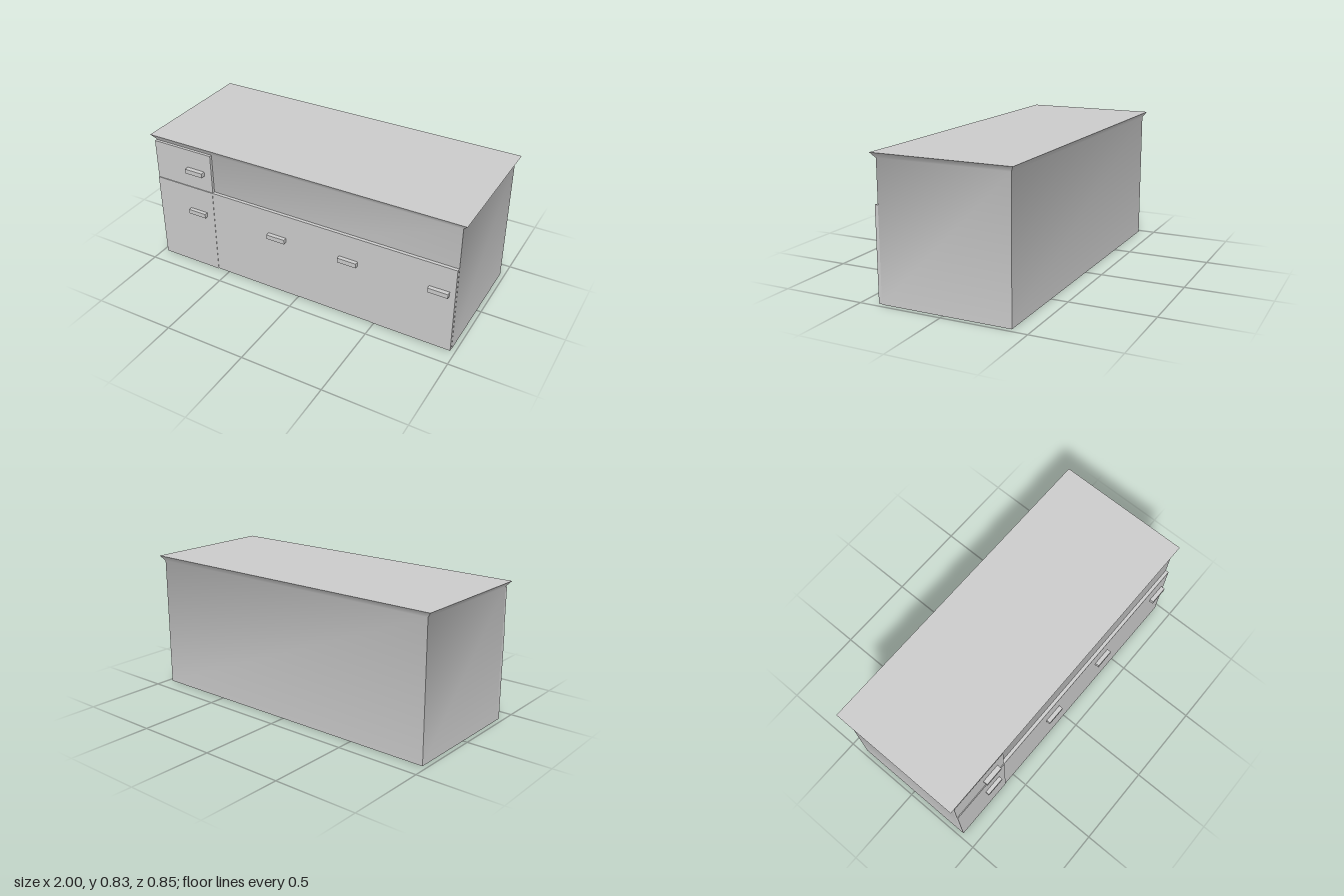
import * as THREE from 'three';
import { toCreasedNormals } from 'three/addons/utils/BufferGeometryUtils.js';

const material = new THREE.MeshStandardMaterial({ color: 0xcccccc });

// Box given by its minimum and maximum on each axis
function addBox(group, name, [x0, x1], [y0, y1], [z0, z1]) {
  const mesh = new THREE.Mesh(new THREE.BoxGeometry(x1 - x0, y1 - y0, z1 - z0), material);
  mesh.position.set((x0 + x1) / 2, (y0 + y1) / 2, (z0 + z1) / 2);
  mesh.name = name;
  group.add(mesh);
}

// Carcass flaring into the worktop: rectangular rings joined by walls and closed by caps
function carcassGeometry() {
  const rings = [
    { y: 0, x: 0.973, front: 0.379, back: -0.4 },
    { y: 0.8, x: 0.973, front: 0.379, back: -0.4 },
    { y: 0.832, x: 1, front: 0.4, back: -0.422 },
  ];
  const positions = rings.flatMap(({ y, x, front, back }) =>
    [-x, y, front, x, y, front, x, y, back, -x, y, back]);
  const index = [0, 2, 1, 0, 3, 2, 8, 9, 10, 8, 10, 11];
  for (let r = 0; r < rings.length - 1; r++) {
    for (let i = 0; i < 4; i++) {
      const a = r * 4 + i, b = r * 4 + (i + 1) % 4;
      index.push(a, b, b + 4, a, b + 4, a + 4);
    }
  }
  const geometry = new THREE.BufferGeometry();
  geometry.setAttribute('position', new THREE.Float32BufferAttribute(positions, 3));
  geometry.setIndex(index);
  return toCreasedNormals(geometry, 0.9);
}

export function createModel() {
  const cabinet = new THREE.Group();
  cabinet.name = 'cabinet';

  const carcass = new THREE.Mesh(carcassGeometry(), material);
  carcass.name = 'carcassAndWorktop';
  cabinet.add(carcass);

  // Lower doors, the first one standing slightly proud
  const doors = [
    { x: [-0.973, -0.576], bottom: 0, front: 0.401, handle: -0.685 },
    { x: [-0.576, 0], bottom: 0.002, front: 0.399, handle: -0.132 },
    { x: [0, 0.482], bottom: 0.004, front: 0.399, handle: 0.333 },
    { x: [0.482, 0.972], bottom: 0.002, front: 0.399, handle: 0.88 },
  ];
  const addHandle = (name, x, y) =>
    addBox(cabinet, name, [x - 0.059, x + 0.059], [y - 0.014, y + 0.014], [0.394, 0.424]);

  doors.forEach(({ x, bottom, front, handle }, i) => {
    addBox(cabinet, `door${i + 1}`, x, [bottom, 0.55], [0.375, front]);
    addHandle(`doorHandle${i + 1}`, handle, 0.385);
  });

  // Drawer above the first door
  addBox(cabinet, 'drawerFront', [-0.973, -0.576], [0.55, 0.797], [0.375, 0.396]);
  addHandle('drawerHandle', -0.685, 0.666);

  return cabinet;
}
